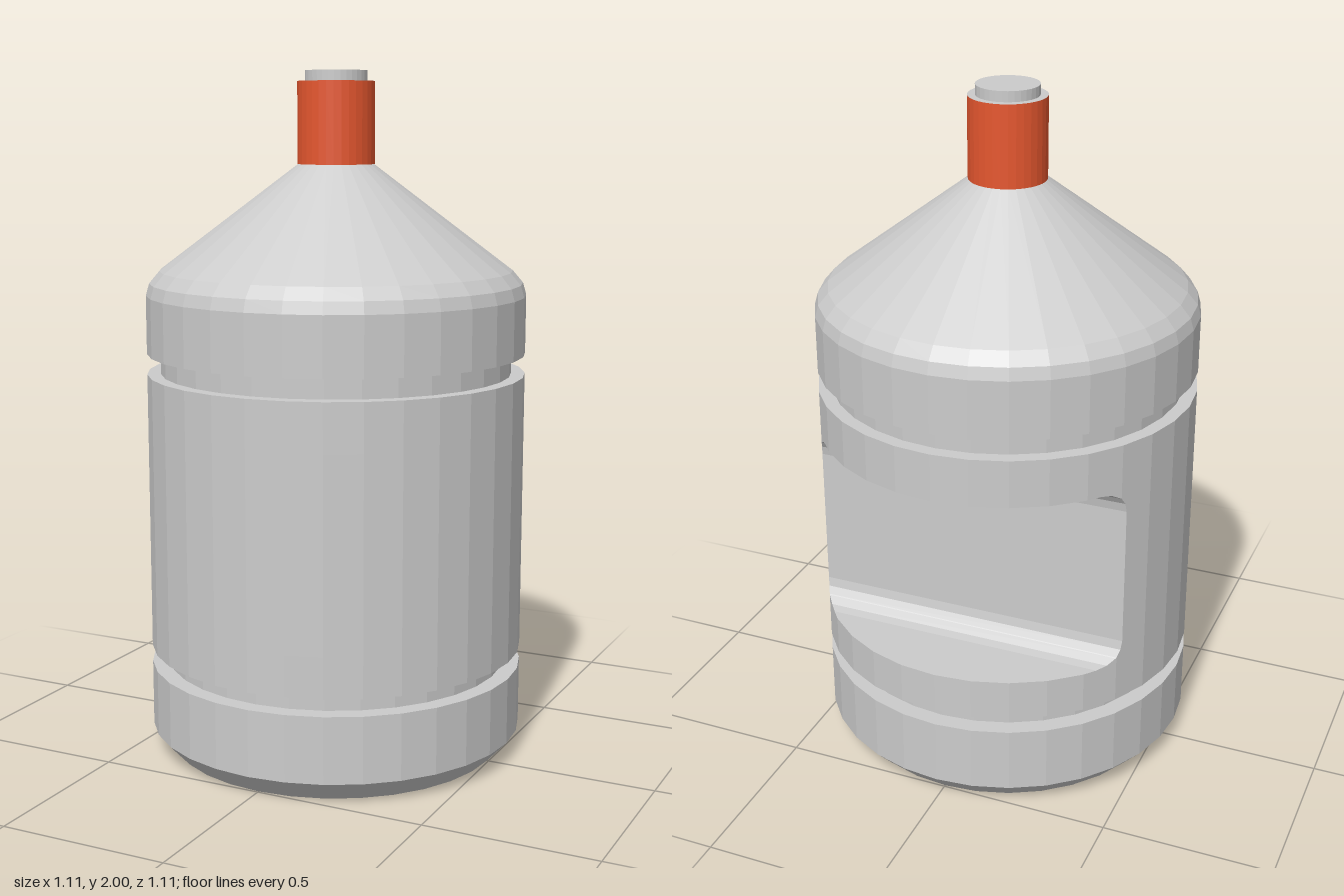
import * as THREE from 'three';

const SIDES = 32, R = 0.555;
const NOTCH = { lo: 0.43, hi: 0.99, z: -0.29, r: 0.07 };

const grey = new THREE.MeshStandardMaterial({ color: 0xcccccc, flatShading: true, side: THREE.DoubleSide });
const orange = new THREE.MeshStandardMaterial({ color: 0xe6572f, flatShading: true, side: THREE.DoubleSide });

function lathe(name, profile, material = grey) {
  const points = profile.map(([r, y]) => new THREE.Vector2(r, y));
  const mesh = new THREE.Mesh(new THREE.LatheGeometry(points, SIDES), material);
  mesh.name = name;
  return mesh;
}

// Half width of the faceted body at depth z
function halfWidth(z) {
  const step = (2 * Math.PI) / SIDES;
  const a = Math.acos(THREE.MathUtils.clamp(z / R, -1, 1));
  const k = Math.min(Math.floor(a / step + 1e-6), SIDES / 2 - 1);
  const za = R * Math.cos(k * step), zb = R * Math.cos((k + 1) * step);
  const xa = R * Math.sin(k * step), xb = R * Math.sin((k + 1) * step);
  return THREE.MathUtils.lerp(xa, xb, (z - za) / (zb - za));
}

// How far the rounded inner corner rises from the notch floor at depth z
function cornerRise(z) {
  const d = z - (NOTCH.z - NOTCH.r);
  return d <= 0 ? 0 : NOTCH.r - Math.sqrt(Math.max(0, NOTCH.r ** 2 - d * d));
}

// Middle of the body, with the straight grip notch cut through its back
function middleSection() {
  const { lo, hi, z: zn, r } = NOTCH;
  const pos = [];
  const quad = (a, b, c, d) => pos.push(...a, ...b, ...c, ...a, ...c, ...d);

  const depths = [];
  for (let k = 0; k <= SIDES / 2; k++) depths.push(R * Math.cos((k * 2 * Math.PI) / SIDES));
  for (let i = 0; i <= 4; i++) depths.push(zn - r + r * Math.cos((i * Math.PI) / 8));
  depths.sort((a, b) => b - a);

  // Mirrored pair of outer wall panels
  const walls = (z0, z1, h0, h1, a0, a1, b0, b1) => {
    quad([h0, a0, z0], [h1, a1, z1], [h1, b1, z1], [h0, b0, z0]);
    quad([-h0, b0, z0], [-h1, b1, z1], [-h1, a1, z1], [-h0, a0, z0]);
  };

  for (let i = 0; i < depths.length - 1; i++) {
    const z0 = depths[i], z1 = depths[i + 1];
    if (z0 - z1 < 1e-6) continue;
    const h0 = halfWidth(z0), h1 = halfWidth(z1);
    if ((z0 + z1) / 2 > zn) {
      walls(z0, z1, h0, h1, lo, lo, hi, hi);
      continue;
    }
    const c0 = cornerRise(z0), c1 = cornerRise(z1);
    if (c0 > 0) {
      walls(z0, z1, h0, h1, lo, lo, lo + c0, lo + c1);
      walls(z0, z1, h0, h1, hi - c0, hi - c1, hi, hi);
    }
    // Notch floor and ceiling
    quad([-h0, lo + c0, z0], [h0, lo + c0, z0], [h1, lo + c1, z1], [-h1, lo + c1, z1]);
    quad([-h1, hi - c1, z1], [h1, hi - c1, z1], [h0, hi - c0, z0], [-h0, hi - c0, z0]);
  }

  // Flat inner wall of the notch
  const h = halfWidth(zn);
  quad([h, lo + r, zn], [-h, lo + r, zn], [-h, hi - r, zn], [h, hi - r, zn]);

  const geometry = new THREE.BufferGeometry();
  geometry.setAttribute('position', new THREE.Float32BufferAttribute(pos, 3));
  geometry.computeVertexNormals();
  const mesh = new THREE.Mesh(geometry, grey);
  mesh.name = 'notchedMiddle';
  return mesh;
}

export function createModel() {
  const bottle = new THREE.Group();
  bottle.name = 'waterBottle';

  bottle.add(
    // Chamfered base with the lower groove
    lathe('base', [
      [0, 0], [0.495, 0], [R, 0.065], [R, 0.26], [0.505, 0.26],
      [0.505, 0.31], [R, 0.31], [R, NOTCH.lo],
    ]),
    middleSection(),
    // Upper groove, rounded shoulder and cone
    lathe('shoulder', [
      [R, NOTCH.hi], [R, 1.13], [0.515, 1.13], [0.515, 1.19], [R, 1.19],
      [R, 1.36], [0.545, 1.395], [0.515, 1.43], [0.11, 1.735],
    ]),
    // Coloured sleeve around the neck
    lathe('neckSleeve', [[0.112, 1.735], [0.112, 1.97]], orange),
    // Neck rim and stopper
    lathe('stopper', [[0.112, 1.97], [0.09, 1.97], [0.09, 2], [0, 2]]),
  );
  return bottle;
}
